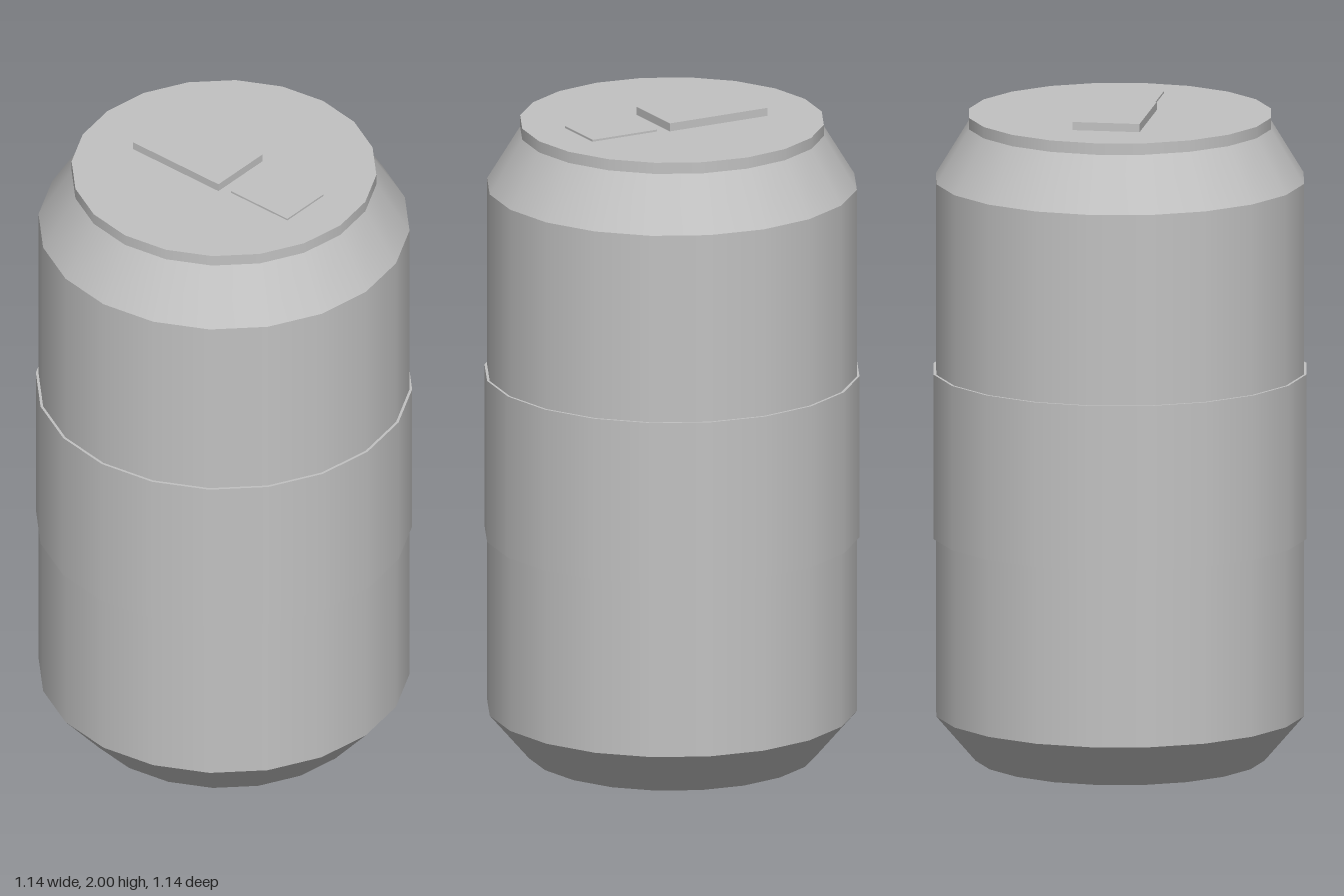
import * as THREE from 'three';

const SIDES = 20;

export function createModel() {
  const model = new THREE.Group();
  model.name = 'drinkCan';
  const metal = new THREE.MeshStandardMaterial({ color: 0xc2c2c2 });
  metal.name = 'grey metal';

  const add = (name, geometry, x, y, z) => {
    const mesh = new THREE.Mesh(geometry, metal);
    mesh.name = name;
    mesh.position.set(x, y, z);
    model.add(mesh);
  };

  // Round section between two heights, smooth around and sharp at its ends
  const ring = (name, y0, y1, r0, r1, open = true) =>
    add(name, new THREE.CylinderGeometry(r1, r0, y1 - y0, SIDES, 1, open), 0, (y0 + y1) / 2, 0);

  // Shell, from the base to the rim
  ring('baseTaper', 0, 0.14, 0.44, 0.56);
  ring('body', 0.14, 1.775, 0.56, 0.56);
  ring('shoulder', 1.775, 1.945, 0.56, 0.457);
  ring('rim', 1.94, 1.975, 0.46, 0.46, false);
  ring('labelBand', 0.685, 1.19, 0.568, 0.568, false);

  // Flat underside
  const base = new THREE.CircleGeometry(0.44, SIDES);
  base.rotateX(Math.PI / 2);
  add('base', base, 0, 0, 0);

  // Lid details
  add('pullTab', new THREE.BoxGeometry(0.204, 0.03, 0.338), 0, 1.985, -0.104);
  add('mouthPanel', new THREE.BoxGeometry(0.168, 0.009, 0.222), 0, 1.9765, 0.211);

  return model;
}
